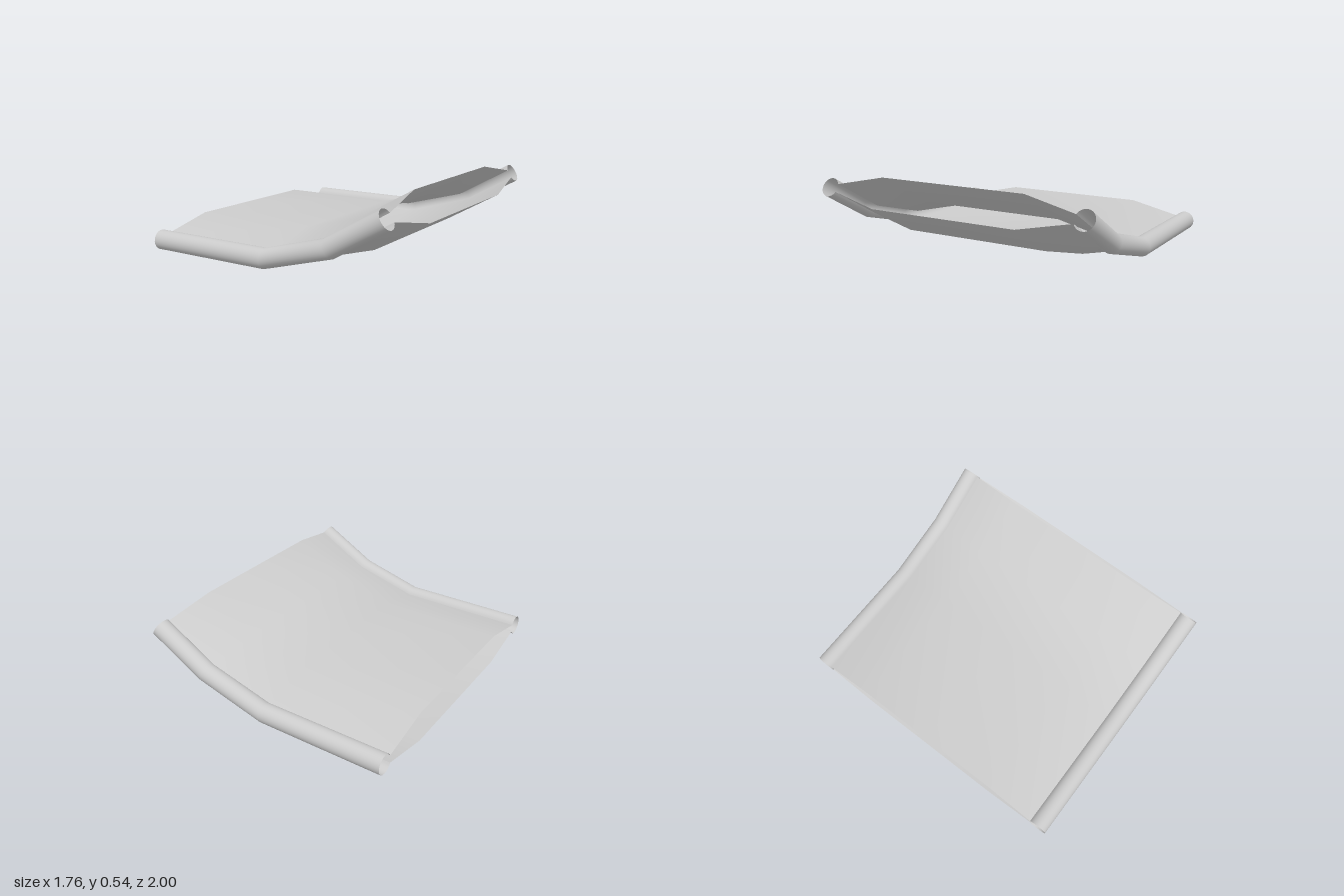
import * as THREE from 'three';

// Stations along the bent centre line: x, y and tilt of the section
const TILT = Math.PI / 6;
const STATIONS = [
  [-0.88, 0.11, 0],
  [-0.01, 0.11, 0],
  [0.453, 0.237, TILT],
  [0.826, 0.45, TILT],
];

const HALF = 0.108;  // half thickness in the middle of the panel
const SLOT = 0.028;  // half thickness where the panel meets a tube
const TUBE_Z = 0.935, TUBE_R = 0.065;

const material = new THREE.MeshStandardMaterial({ color: 0xcccccc, side: THREE.DoubleSide });

// Sweeps an open section, given as [z, height] points, through the stations
function sweep(name, section) {
  const positions = [], index = [], n = section.length;
  for (const [x, y, a] of STATIONS) {
    for (const [z, h] of section) {
      positions.push(x - h * Math.sin(a), y + h * Math.cos(a), z);
    }
  }
  for (let s = 0; s < STATIONS.length - 1; s++) {
    for (let i = 0; i < n - 1; i++) {
      const a = s * n + i, b = a + 1, c = a + n, d = c + 1;
      index.push(a, b, c, b, d, c);
    }
  }
  const geometry = new THREE.BufferGeometry();
  geometry.setAttribute('position', new THREE.Float32BufferAttribute(positions, 3));
  geometry.setIndex(index);
  geometry.computeVertexNormals();
  const mesh = new THREE.Mesh(geometry, material);
  mesh.name = name;
  return mesh;
}

export function createModel() {
  const group = new THREE.Group();
  group.name = 'bentPanel';

  // Angle on the tube at which its inner slot opens
  const gap = Math.asin(SLOT / TUBE_R);
  const lipZ = TUBE_Z - TUBE_R * Math.cos(gap);

  // Upper and lower skins, bowed apart in the middle and open at both ends
  const skin = [[-lipZ, SLOT], [-0.525, HALF], [0, HALF], [0.525, HALF], [lipZ, SLOT]];
  const lower = skin.map(([z, h]) => [-z, -h]);
  group.add(sweep('upperSkin', skin.map(([z, h]) => [z, h])));
  group.add(sweep('lowerSkin', lower));

  // Open edge tubes, slotted on the inside where the skins join
  const STEPS = 28;
  for (const side of [1, -1]) {
    const arc = [];
    for (let i = 0; i <= STEPS; i++) {
      const t = Math.PI - gap - (i / STEPS) * 2 * (Math.PI - gap);
      arc.push([side * (TUBE_Z + TUBE_R * Math.cos(t)), TUBE_R * Math.sin(t)]);
    }
    if (side < 0) arc.reverse();
    group.add(sweep(side > 0 ? 'frontEdgeTube' : 'backEdgeTube', arc));
  }
  return group;
}
